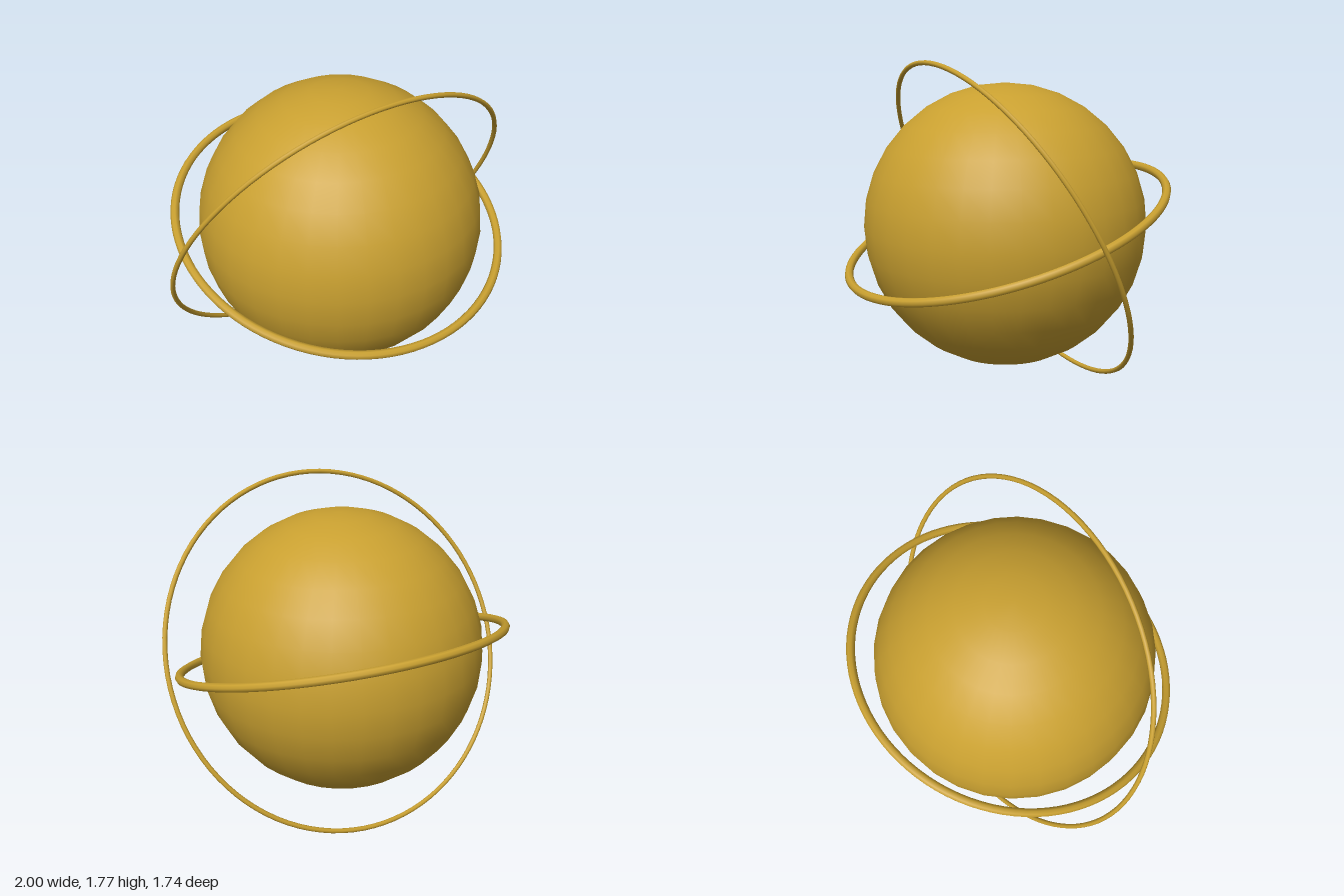
import * as THREE from 'three';

export function createModel() {
  const group = new THREE.Group();
  const gold = new THREE.MeshStandardMaterial({ color: 0xc9a030 });
  const centerY = 0.885;

  const add = (name, geometry, tilt = 0) => {
    const mesh = new THREE.Mesh(geometry, gold);
    mesh.name = name;
    mesh.position.y = centerY;
    mesh.rotation.x = THREE.MathUtils.degToRad(tilt);
    group.add(mesh);
  };

  // Central globe
  add('globe', new THREE.SphereGeometry(0.765, 32, 16));

  // Thick near-horizontal ring, dipping toward the front
  add('equatorRing', new THREE.TorusGeometry(0.89, 0.023, 8, 96), 90 + 18);

  // Thin upright ring, its top leaning toward the front
  add('meridianRing', new THREE.TorusGeometry(0.987, 0.013, 8, 96), 28);

  return group;
}
